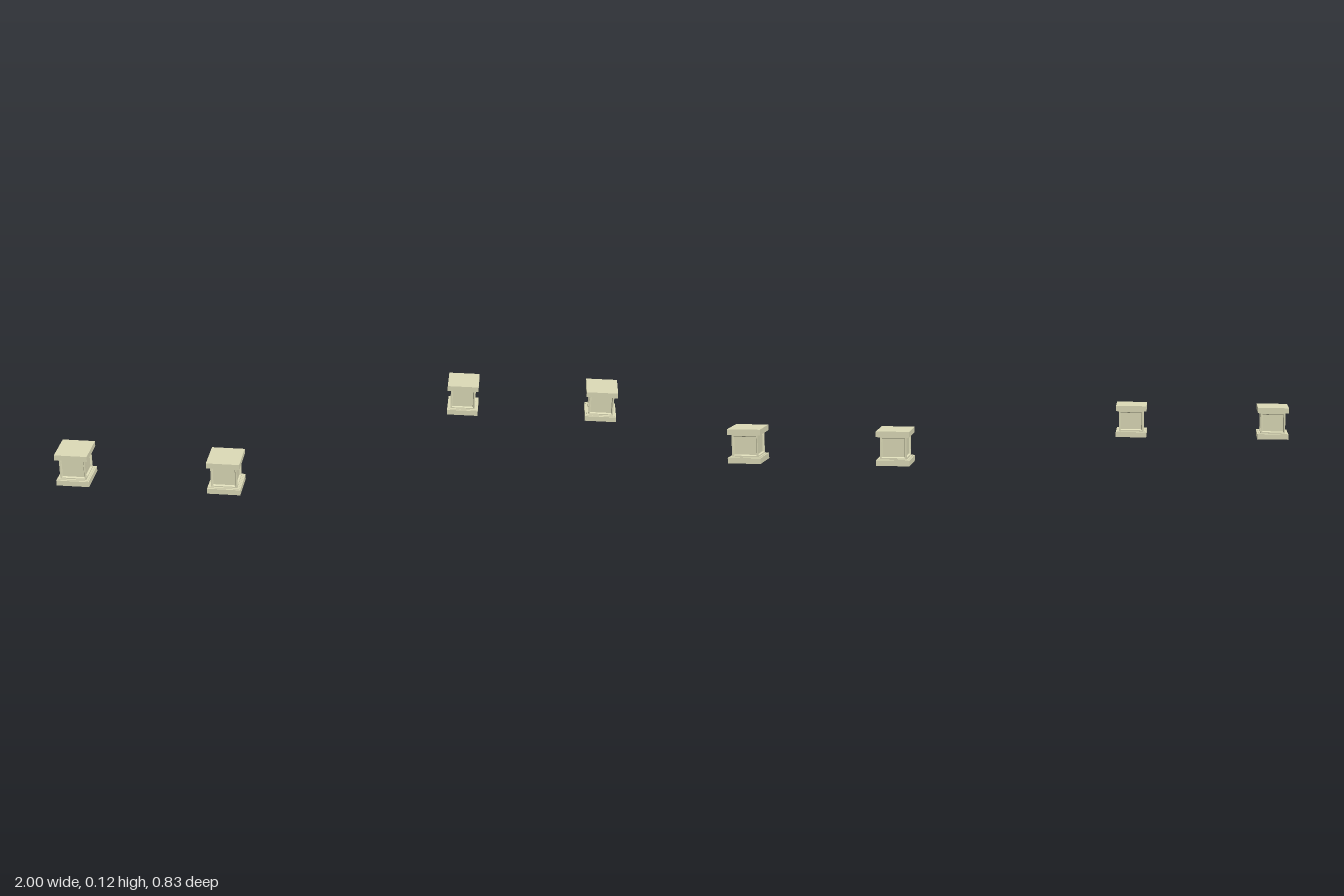
import * as THREE from 'three';

const stone = new THREE.MeshStandardMaterial({ color: 0xdddbb8, flatShading: true });

const WIDTH = 0.118, DEPTH = 0.12, HEIGHT = 0.122;
const SLAB = 0.02, LIP = 0.002, SHAFT = 0.094;

// One shaft side facing +z: flat border, bevelled step, sunken panel
function panelSide(height) {
  const w = SHAFT / 2, h = height / 2;
  const loops = [
    [w, h, w],
    [w - 0.005, h - 0.006, w],
    [w - 0.008, h - 0.009, w - 0.006],
  ];
  const points = [], index = [];
  for (const [x, y, z] of loops) points.push(-x, -y, z, x, -y, z, x, y, z, -x, y, z);
  for (let l = 0; l < loops.length - 1; l++) {
    for (let i = 0; i < 4; i++) {
      const a = l * 4 + i, b = l * 4 + (i + 1) % 4;
      index.push(a, b, b + 4, a, b + 4, a + 4);
    }
  }
  index.push(8, 9, 10, 8, 10, 11);
  const geometry = new THREE.BufferGeometry();
  geometry.setAttribute('position', new THREE.Float32BufferAttribute(points, 3));
  geometry.setIndex(index);
  const flat = geometry.toNonIndexed();
  flat.computeVertexNormals();
  return flat;
}

function createPedestal() {
  const pedestal = new THREE.Group();
  const slab = (name, w, h, d, y) => {
    const mesh = new THREE.Mesh(new THREE.BoxGeometry(w, h, d), stone);
    mesh.name = name;
    mesh.position.y = y;
    pedestal.add(mesh);
  };

  // Base and cap slabs with a thin moulding against the shaft
  slab('base', WIDTH, SLAB, DEPTH, SLAB / 2);
  slab('baseMoulding', 0.108, LIP, 0.108, SLAB + LIP / 2);
  slab('capMoulding', 0.108, LIP, 0.108, HEIGHT - SLAB - LIP / 2);
  slab('cap', WIDTH, SLAB, DEPTH, HEIGHT - SLAB / 2);

  // Square shaft with a recessed panel on each side
  const shaft = new THREE.Group();
  shaft.name = 'shaft';
  shaft.position.y = HEIGHT / 2;
  const side = panelSide(HEIGHT - 2 * SLAB);
  for (let i = 0; i < 4; i++) {
    const mesh = new THREE.Mesh(side, stone);
    mesh.name = 'panelSide';
    mesh.rotation.y = i * Math.PI / 2;
    shaft.add(mesh);
  }
  pedestal.add(shaft);
  return pedestal;
}

export function createModel() {
  const model = new THREE.Group();
  model.name = 'pedestals';

  // Two pedestals at the front right, two at the back left
  const places = [
    ['frontOuterPedestal', -0.941, 0.353],
    ['frontInnerPedestal', -0.397, 0.353],
    ['backInnerPedestal', 0.412, -0.349],
    ['backOuterPedestal', 0.941, -0.353],
  ];
  for (const [name, x, z] of places) {
    const pedestal = createPedestal();
    pedestal.name = name;
    pedestal.position.set(x, 0, z);
    model.add(pedestal);
  }
  return model;
}
